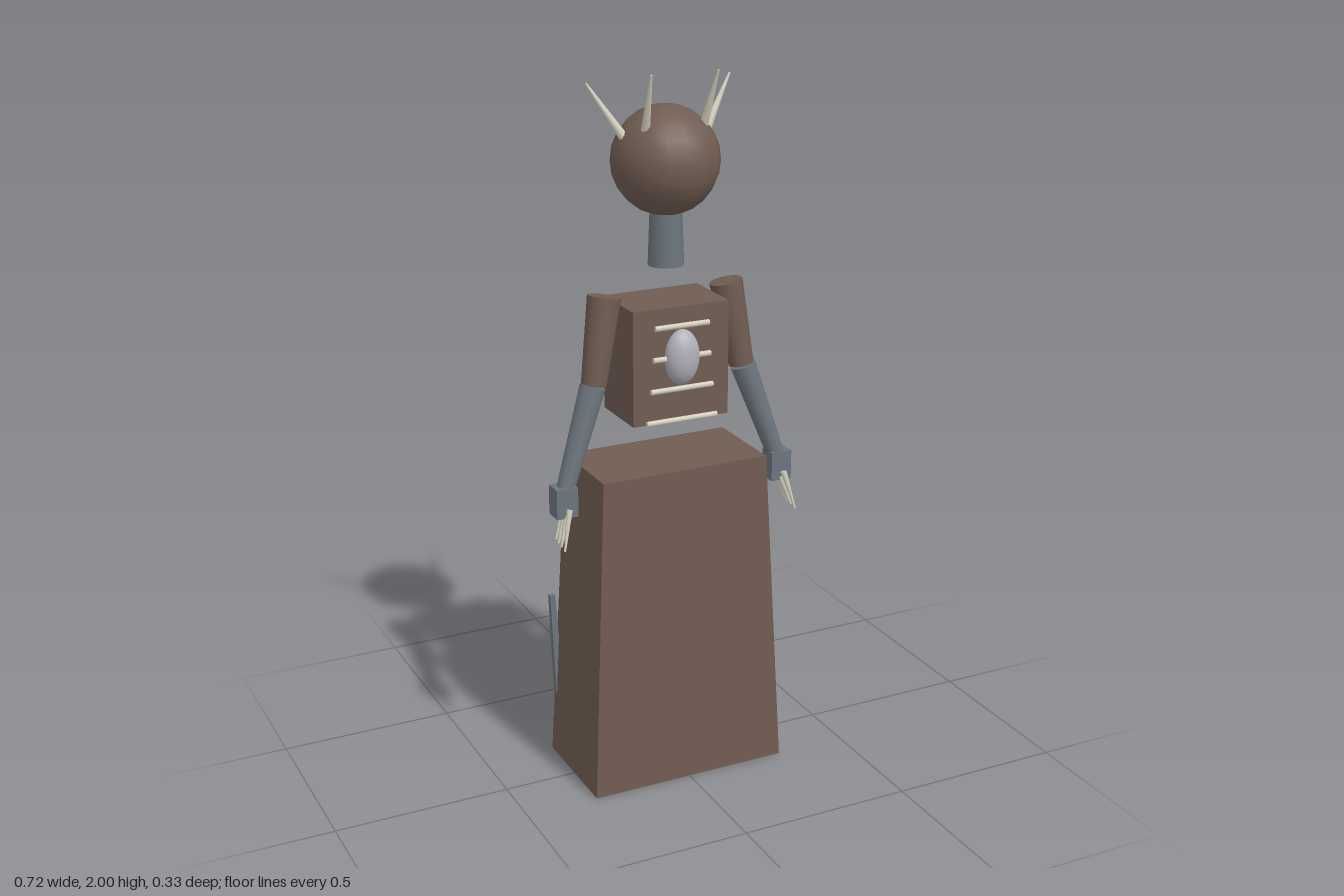
import * as THREE from 'three';

const mat = (name, color) => {
  const m = new THREE.MeshStandardMaterial({ color });
  m.name = name;
  return m;
};

export function createModel() {
  const model = new THREE.Group();
  const brown = mat('brown hide', 0x705c52);
  const grey = mat('slate grey', 0x6c757d);
  const bone = mat('bone', 0xd2cdbc);
  const silver = mat('silver gem', 0xb0b0ba);

  const add = (name, geometry, material, x = 0, y = 0, z = 0, parent = model) => {
    const mesh = new THREE.Mesh(geometry, material);
    mesh.name = name;
    mesh.position.set(x, y, z);
    parent.add(mesh);
    return mesh;
  };

  // Tapered rod running from point a (radius ra) to point b (radius rb)
  const rod = (name, a, b, ra, rb, material, sides = 16, parent = model) => {
    const from = new THREE.Vector3(...a), to = new THREE.Vector3(...b);
    const dir = to.clone().sub(from);
    const geo = new THREE.CylinderGeometry(rb, ra, dir.length(), sides);
    if (sides === 4) geo.rotateY(Math.PI / 4);
    const mesh = add(name, sides === 4 ? flat(geo) : geo, material, 0, 0, 0, parent);
    mesh.position.copy(from).add(to).multiplyScalar(0.5);
    mesh.quaternion.setFromUnitVectors(new THREE.Vector3(0, 1, 0), dir.normalize());
    return mesh;
  };

  const flat = (geo) => {
    const g = geo.toNonIndexed();
    g.computeVertexNormals();
    return g;
  };

  // Skirt: a box narrowing towards its top
  const skirtGeo = new THREE.BoxGeometry(0.584, 0.928, 0.322);
  const p = skirtGeo.attributes.position;
  for (let i = 0; i < p.count; i++) {
    if (p.getY(i) > 0) {
      p.setX(i, Math.sign(p.getX(i)) * 0.247);
      p.setZ(i, Math.sign(p.getZ(i)) * 0.131);
    }
  }
  add('skirt', flat(skirtGeo), brown, 0, 0.466, 0);

  // Chest with ribs and a gem
  add('chest', new THREE.BoxGeometry(0.284, 0.32, 0.19), brown, 0, 1.222, 0.002);
  [[1.33, 0.16], [1.243, 0.17], [1.155, 0.185], [1.067, 0.21]].forEach(([y, w]) =>
    rod('rib', [-w / 2, y, 0.102], [w / 2, y, 0.102], 0.008, 0.008, bone, 8));
  add('chestGem', new THREE.SphereGeometry(1, 20, 14), silver, 0, 1.243, 0.1)
    .scale.set(0.05, 0.077, 0.039);

  // Neck and head
  rod('neck', [0, 1.475, 0.003], [0, 1.64, 0.003], 0.049, 0.043, grey);
  add('head', new THREE.SphereGeometry(0.147, 16, 12), brown, 0, 1.757, 0);

  // Paired parts
  for (const s of [1, -1]) {
    const side = new THREE.Group();
    side.name = s > 0 ? 'leftSide' : 'rightSide';
    model.add(side);
    const limb = (name, a, b, ra, rb, material, sides) =>
      rod(name, [s * a[0], a[1], a[2]], [s * b[0], b[1], b[2]], ra, rb, material, sides, side);

    // Horns
    limb('frontHorn', [0.083, 1.84, 0.051], [0.095, 2.0, 0.115], 0.013, 0.003, bone, 8);
    limb('sideHorn', [0.11, 1.81, 0.004], [0.208, 1.965, -0.038], 0.014, 0.003, bone, 8);

    // Arm
    limb('upperArm', [0.182, 1.408, 0.003], [0.223, 1.172, 0.021], 0.046, 0.035, brown);
    limb('forearm', [0.227, 1.17, 0.023], [0.324, 0.895, 0.048], 0.036, 0.025, grey);
    add('hand', new THREE.BoxGeometry(0.062, 0.084, 0.055), grey, s * 0.328, 0.868, 0.048, side);
    [[0.088, 0.112], [0.069, 0.088], [0.054, 0.068], [0.04, 0.05]].forEach(([z0, z1], i) =>
      limb('claw', [0.328, i ? 0.835 : 0.855, z0], [0.354, 0.747 + i * 0.004, z1], 0.009, 0.003, bone, 8));

    // Rear strut hugging the skirt corner, and a foot pad below
    limb('rearStrut', [0.262, 0.002, -0.152], [0.291, 0.503, -0.143], 0.018, 0.011, grey, 4);
    add('footPad', new THREE.BoxGeometry(0.06, 0.005, 0.06), grey, s * 0.22, 0.0025, 0.025, side);
  }

  return model;
}
